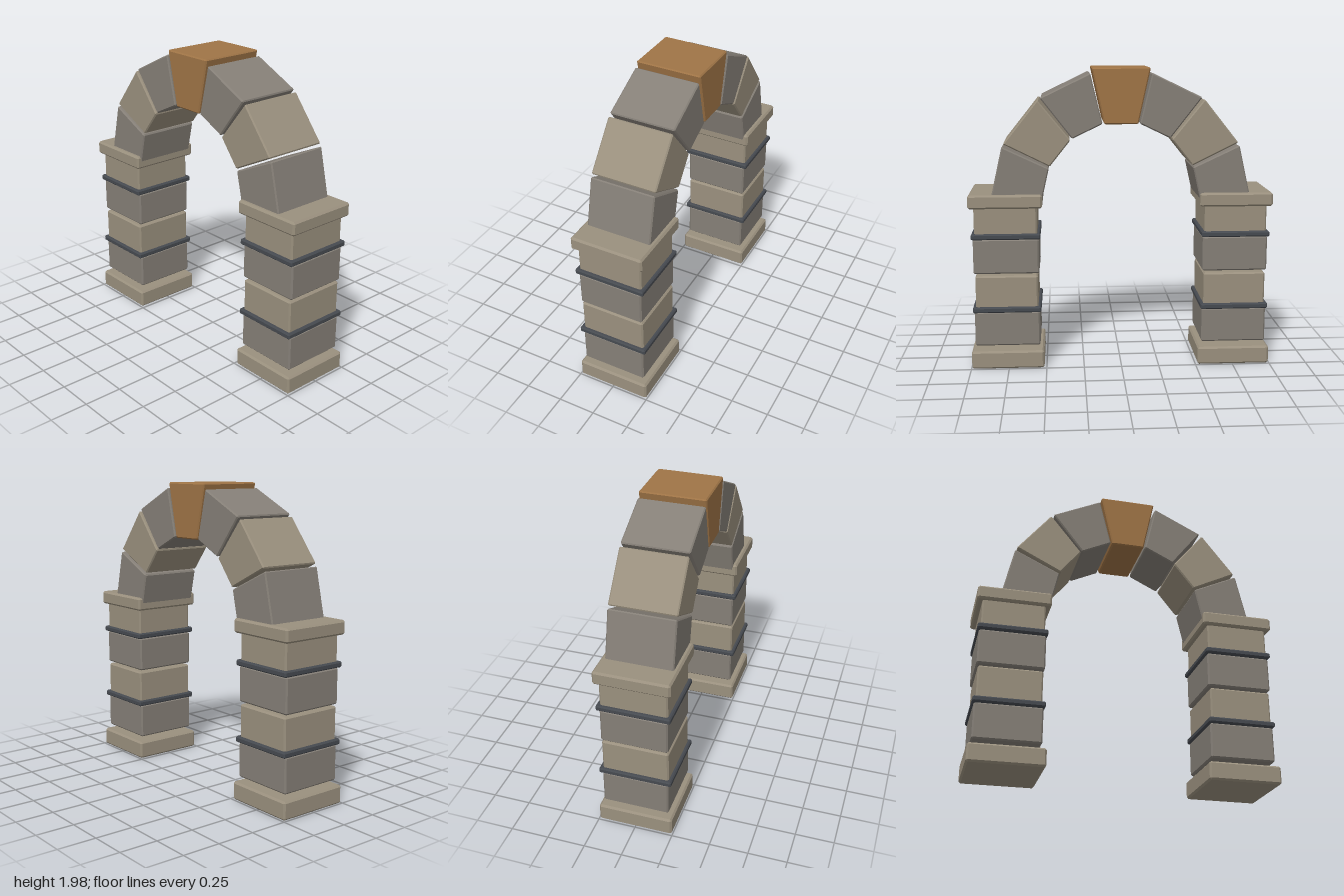
import * as THREE from 'three';
import { ConvexGeometry } from 'three/addons/geometries/ConvexGeometry.js';

const material = (color) => new THREE.MeshStandardMaterial({ color, flatShading: true });

// Prism over a convex outline in the xy plane, every edge chamfered by c
function chamferedPrism(outline, depth, c) {
  const pts = [];
  const n = outline.length;
  outline.forEach((p, i) => {
    const toPrev = outline[(i + n - 1) % n].clone().sub(p).setLength(c);
    const toNext = outline[(i + 1) % n].clone().sub(p).setLength(c);
    const a = p.clone().add(toPrev);
    const b = p.clone().add(toNext);
    const inner = a.clone().add(toNext);
    for (const s of [-1, 1]) {
      pts.push(new THREE.Vector3(a.x, a.y, s * (depth / 2 - c)));
      pts.push(new THREE.Vector3(b.x, b.y, s * (depth / 2 - c)));
      pts.push(new THREE.Vector3(inner.x, inner.y, s * depth / 2));
    }
  });
  return new ConvexGeometry(pts);
}

const rect = (w, y0, y1) => [[-w / 2, y0], [w / 2, y0], [w / 2, y1], [-w / 2, y1]]
  .map(([x, y]) => new THREE.Vector2(x, y));

// Wedge stone standing upright on the arch centre
function wedge(inner, outer, halfAngle) {
  const t = Math.tan(halfAngle);
  return [[-inner * t, inner], [inner * t, inner], [outer * t, outer], [-outer * t, outer]]
    .map(([x, y]) => new THREE.Vector2(x, y));
}

export function createModel() {
  const model = new THREE.Group();
  model.name = 'stoneArch';

  const tan = material(0x9a907e);
  const grey = material(0x857f77);
  const slate = material(0x464a50);
  const brown = material(0x9f7446);

  const add = (parent, name, geometry, mat) => {
    const mesh = new THREE.Mesh(geometry, mat);
    mesh.name = name;
    parent.add(mesh);
    return mesh;
  };

  // Pillars: name, width, depth, bottom, top, chamfer, material
  const courses = [
    ['plinth', 0.48, 0.49, 0, 0.12, 0.012, tan],
    ['lowerGreyBlock', 0.43, 0.435, 0.152, 0.385, 0.01, grey],
    ['lowerBand', 0.45, 0.476, 0.383, 0.42, 0.008, slate],
    ['lowerTanBlock', 0.41, 0.435, 0.397, 0.628, 0.01, tan],
    ['upperGreyBlock', 0.43, 0.435, 0.643, 0.875, 0.01, grey],
    ['upperBand', 0.45, 0.476, 0.875, 0.912, 0.008, slate],
    ['upperTanBlock', 0.41, 0.435, 0.888, 1.11, 0.01, tan],
    ['capital', 0.48, 0.49, 1.08, 1.17, 0.012, tan],
  ];
  for (const side of [1, -1]) {
    const pillar = new THREE.Group();
    pillar.name = side > 0 ? 'leftPillar' : 'rightPillar';
    pillar.position.x = side * 0.755;
    for (const [name, w, d, y0, y1, c, mat] of courses) {
      add(pillar, name, chamferedPrism(rect(w, y0, y1), d, c), mat);
    }
    model.add(pillar);
  }

  // Arch ring: seven wedges over a half circle, the keystone in the middle
  const arch = new THREE.Group();
  arch.name = 'archRing';
  arch.position.y = 1.12;
  const step = Math.PI / 7;
  const stone = chamferedPrism(wedge(0.505, 0.83, 0.213), 0.435, 0.008);
  for (let i = -3; i <= 3; i++) {
    if (i === 0) {
      add(arch, 'keystone', chamferedPrism(wedge(0.5, 0.86, 0.216), 0.435, 0.008), brown);
    } else {
      const mesh = add(arch, 'archStone', stone, i % 2 ? grey : tan);
      mesh.rotation.z = -i * step;
    }
  }
  model.add(arch);

  return model;
}
